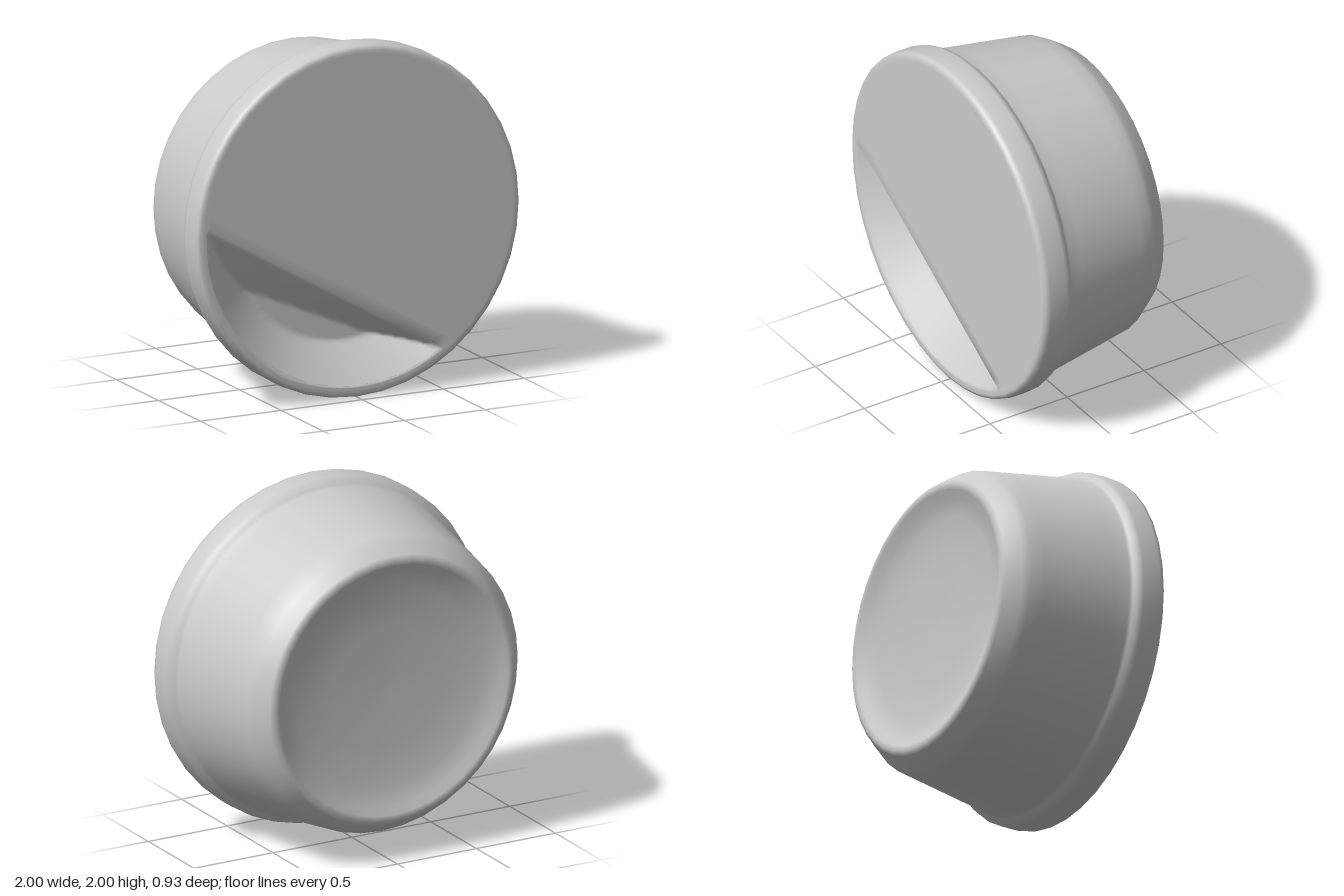
import * as THREE from 'three';

const material = new THREE.MeshStandardMaterial({ color: 0xcccccc, roughness: 0.8 });

// Tapered round dish with a rolled rim and a hollowed foot, turned about z
function makeDish() {
  const profile = [
    [0, -0.38], [0.35, -0.385], [0.58, -0.405], [0.68, -0.435], [0.725, -0.46],
    [0.755, -0.465], [0.78, -0.45], [0.835, -0.37], [0.86, -0.33], [0.873, -0.25],
    [0.94, 0.17], [0.953, 0.25], [0.965, 0.268], [0.988, 0.285], [1, 0.315],
    [1, 0.42], [0.993, 0.447], [0.97, 0.46], [0.93, 0.455],
  ].map(([r, z]) => new THREE.Vector2(r, z));
  const geometry = new THREE.LatheGeometry(profile, 40);
  geometry.rotateX(Math.PI / 2);
  const mesh = new THREE.Mesh(geometry, material);
  mesh.name = 'dish';
  return mesh;
}

// Depth of the scooped pocket, u across the chord and t along it
const CHORD = 0.41;
function pocketDepth(t, u) {
  const d = u - CHORD;
  if (d <= 0) return 0;
  const wallWidth = THREE.MathUtils.mapLinear(t, -0.9, 0.9, 0.26, 0.05);
  const wall = (d / wallWidth) * 0.18;
  const rim = Math.max(0, 0.935 - Math.hypot(t, u)) * 0.8;
  return Math.min(wall, rim, 0.18);
}

// Filled front surface, laid in rows parallel to the pocket edge
function makeFilling() {
  const radius = 0.955, columns = 64;
  const rows = [];
  for (let i = 0; i <= 20; i++) rows.push(THREE.MathUtils.lerp(-radius, CHORD, i / 20));
  for (let i = 1; i <= 28; i++) rows.push(THREE.MathUtils.lerp(CHORD, radius, i / 28));
  const dx = 0.865, dy = -0.502;
  const positions = [], indices = [];
  rows.forEach((u, i) => {
    const half = Math.sqrt(Math.max(0, radius * radius - u * u));
    for (let j = 0; j <= columns; j++) {
      const t = -half * Math.cos((Math.PI * j) / columns);
      positions.push(t * dx + u * dy, t * dy - u * dx, 0.46 - pocketDepth(t, u));
      if (i > 0 && j > 0) {
        const a = (i - 1) * (columns + 1) + j - 1, b = a + 1;
        const c = a + columns + 1, d = c + 1;
        indices.push(a, c, b, b, c, d);
      }
    }
  });
  const geometry = new THREE.BufferGeometry();
  geometry.setAttribute('position', new THREE.Float32BufferAttribute(positions, 3));
  geometry.setIndex(indices);
  geometry.computeVertexNormals();
  const mesh = new THREE.Mesh(geometry, material);
  mesh.name = 'filling';
  return mesh;
}

export function createModel() {
  const group = new THREE.Group();
  group.name = 'filledDish';
  const body = new THREE.Group();
  body.name = 'body';
  body.position.y = 1;
  body.add(makeDish(), makeFilling());
  group.add(body);
  return group;
}
